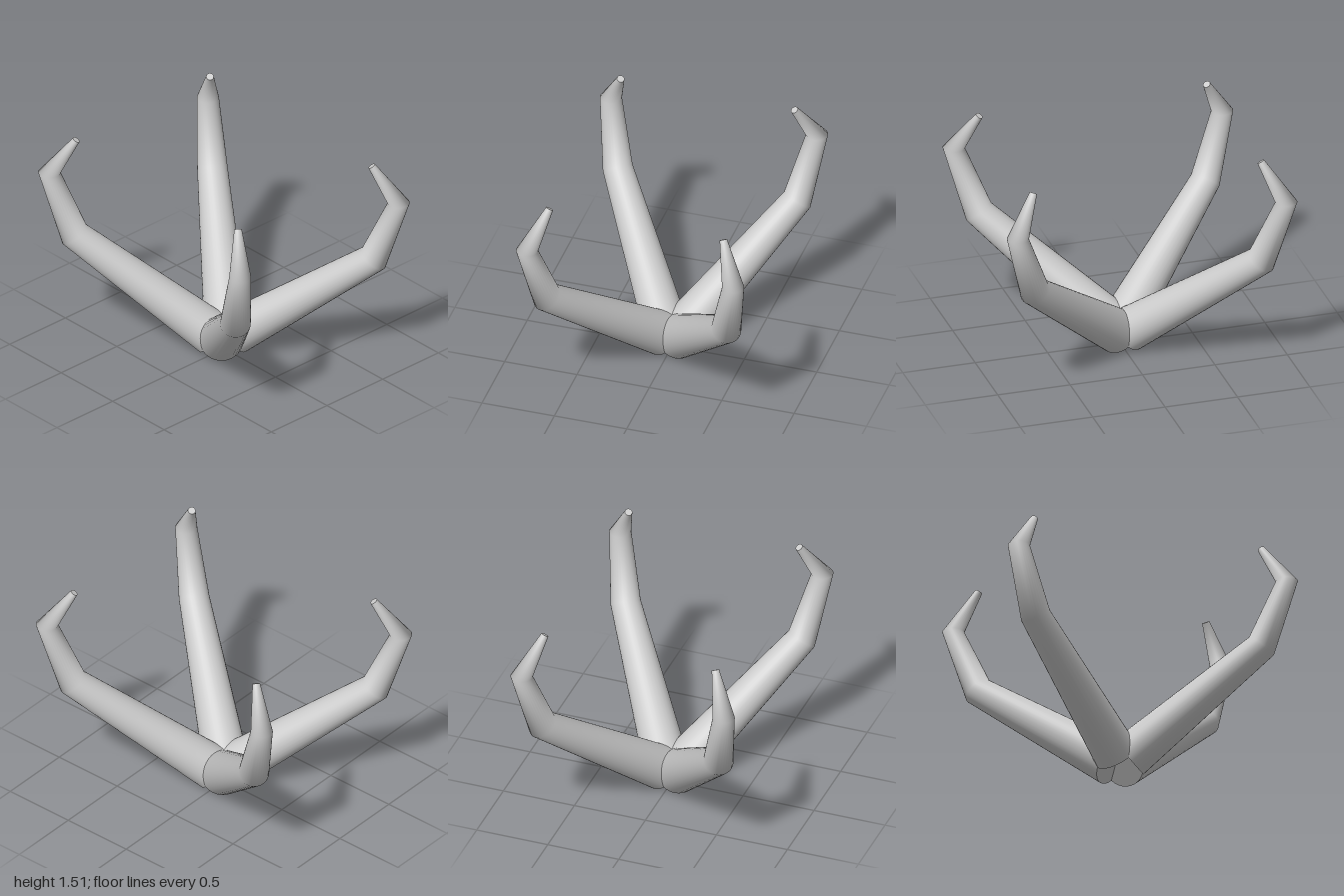
import * as THREE from 'three';

const SIDES = 32;
const AZIMUTH = Math.atan2(0.62, 0.785); // heading of each claw, from +z towards +x

// Cross-sections from base to tip: centre, radius, and elevation of the ring's axis in degrees
const RINGS = [
  { p: [0.06, 0.121, 0.04], r: 0.15, tilt: 36 },
  { p: [0.62, 0.787, 0.782], r: 0.101, tilt: 52 },
  { p: [0.712, 1.236, 0.927], r: 0.073, tilt: 92 },
  { p: [0.6, 1.501, 0.785], r: 0.025, tilt: 123 },
];

// Points around one ring, mirrored by the signs sx and sz
function ringPoints({ p, r, tilt }, sx, sz) {
  const e = THREE.MathUtils.degToRad(tilt);
  const side = new THREE.Vector3(Math.cos(AZIMUTH), 0, -Math.sin(AZIMUTH));
  const axis = new THREE.Vector3(
    Math.cos(e) * Math.sin(AZIMUTH), Math.sin(e), Math.cos(e) * Math.cos(AZIMUTH));
  const up = new THREE.Vector3().crossVectors(axis, side);
  const points = [];
  for (let i = 0; i < SIDES; i++) {
    const a = (i / SIDES) * Math.PI * 2;
    const v = new THREE.Vector3(...p)
      .addScaledVector(side, r * Math.cos(a))
      .addScaledVector(up, r * Math.sin(a));
    points.push(v.set(v.x * sx, v.y, v.z * sz));
  }
  return points;
}

// Bent tapering tube with flat ends
function clawGeometry(sx, sz) {
  const rings = RINGS.map((ring) => ringPoints(ring, sx, sz));
  const positions = [];
  const index = [];
  const add = (v) => positions.push(v.x, v.y, v.z) / 3 - 1;
  const flip = sx * sz < 0; // mirrored claws need reversed corners
  const tri = (a, b, c) => (flip ? index.push(a, c, b) : index.push(a, b, c));

  // Walls
  rings.forEach((ring) => ring.forEach(add));
  for (let k = 0; k < rings.length - 1; k++) {
    for (let i = 0; i < SIDES; i++) {
      const j = (i + 1) % SIDES;
      const a = k * SIDES + i, b = k * SIDES + j;
      tri(a, b, b + SIDES);
      tri(a, b + SIDES, a + SIDES);
    }
  }

  // End caps, with their own vertices so the rims stay sharp
  for (const [k, atTip] of [[0, false], [rings.length - 1, true]]) {
    const [x, y, z] = RINGS[k].p;
    const centre = add(new THREE.Vector3(x * sx, y, z * sz));
    rings[k].forEach(add);
    for (let i = 0; i < SIDES; i++) {
      const a = centre + 1 + i, b = centre + 1 + ((i + 1) % SIDES);
      if (atTip) tri(centre, a, b);
      else tri(centre, b, a);
    }
  }

  const geometry = new THREE.BufferGeometry();
  geometry.setAttribute('position', new THREE.Float32BufferAttribute(positions, 3));
  geometry.setIndex(index);
  geometry.computeVertexNormals();
  return geometry;
}

export function createModel() {
  const group = new THREE.Group();
  group.name = 'grapple';
  const material = new THREE.MeshStandardMaterial({ color: 0xcccccc });

  // Four claws mirrored across x and z, meeting at the base
  for (const sz of [1, -1]) {
    for (const sx of [1, -1]) {
      const claw = new THREE.Mesh(clawGeometry(sx, sz), material);
      claw.name = (sz > 0 ? 'front' : 'back') + (sx > 0 ? 'Left' : 'Right') + 'Claw';
      group.add(claw);
    }
  }
  return group;
}
